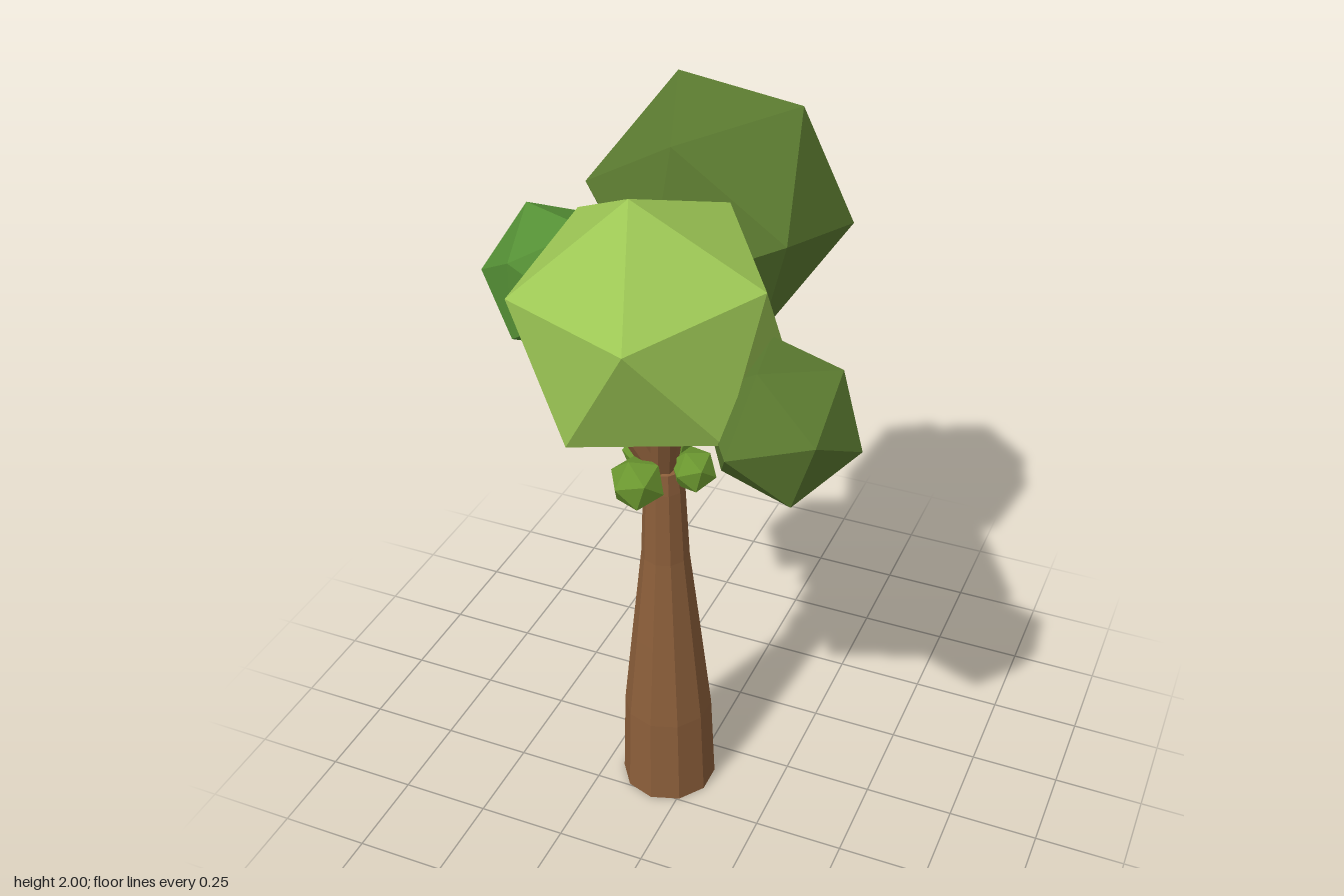
import * as THREE from 'three';

const V = (p) => new THREE.Vector3(...p);
const paint = (color) => new THREE.MeshStandardMaterial({ color, flatShading: true });
const bark = paint(0x8b5e3a);
const lightLeaf = paint(0x9dc755);
const darkLeaf = paint(0x5b7a30);
const freshLeaf = paint(0x559035);
const sproutLeaf = paint(0x6c9830);

// Icosahedral clump, turned so that one edge runs from direction a to direction b
function clump(name, center, radius, material, a, b) {
  const mesh = new THREE.Mesh(new THREE.IcosahedronGeometry(radius, 0), material);
  const from = V(a).normalize(), to = V(b).normalize();
  const y = from.clone().add(to).normalize();
  const x = to.clone().sub(from).normalize();
  const z = x.clone().cross(y);
  mesh.quaternion.setFromRotationMatrix(new THREE.Matrix4().makeBasis(x, y, z));
  mesh.position.set(...center);
  mesh.name = name;
  return mesh;
}

// Tapered limb between two points
function limb(name, start, end, r0, r1) {
  const a = V(start), b = V(end), dir = b.clone().sub(a);
  const mesh = new THREE.Mesh(new THREE.CylinderGeometry(r1, r0, dir.length(), 7), bark);
  mesh.position.copy(a).add(b).multiplyScalar(0.5);
  mesh.quaternion.setFromUnitVectors(new THREE.Vector3(0, 1, 0), dir.normalize());
  mesh.name = name;
  return mesh;
}

export function createModel() {
  const tree = new THREE.Group();
  tree.name = 'tree';

  // Trunk, flared towards the closed foot
  const profile = [[0, 0], [0.134, 0], [0.124, 0.27], [0.096, 0.53], [0.066, 0.8], [0.056, 1.02], [0.05, 1.08], [0, 1.1]];
  const trunk = new THREE.Mesh(
    new THREE.LatheGeometry(profile.map(([r, y]) => new THREE.Vector2(r, y)), 10), bark);
  trunk.position.set(-0.072, 0, 0.137);
  trunk.name = 'trunk';
  tree.add(trunk);

  // Branches fanning out from the trunk top
  const fork = [-0.075, 1.05, 0.135];
  const tips = [[-0.01, 1.46, 0.26], [-0.3, 1.47, 0.12], [-0.12, 1.44, -0.13], [-0.25, 1.45, 0.25], [-0.03, 1.44, 0.1]];
  const branches = new THREE.Group();
  branches.name = 'branches';
  tips.forEach((tip, i) => branches.add(limb('branch' + (i + 1), fork, tip, 0.034, 0.036)));
  tree.add(branches);

  // Large crown clumps
  tree.add(
    clump('frontCrown', [0.017, 1.663, 0.4], 0.343, lightLeaf, [-0.012, 0.337, 0.065], [0.083, 0.1, 0.32]),
    clump('backCrown', [-0.077, 1.66, -0.26], 0.354, darkLeaf, [-0.157, 0.305, -0.096], [0.208, 0.285, -0.035]),
    clump('rightCrown', [-0.341, 1.59, 0.152], 0.2, freshLeaf, [-0.1, 0.175, -0.03], [-0.19, 0.005, 0.045]),
    clump('leftCrown', [0.35, 1.488, 0.415], 0.198, darkLeaf, [-0.025, 0.172, 0.095], [-0.182, 0.056, 0.033]),
    clump('rearCrown', [-0.178, 1.472, -0.557], 0.178, lightLeaf, [-0.017, 0.155, -0.085], [0.028, -0.02, -0.17]),
  );

  // Small tufts among the branches and around the fork
  const tufts = [
    [[-0.15, 1.445, 0.085], 0.09], [[-0.22, 1.47, 0.27], 0.1],
    [[-0.115, 1.065, 0.21], 0.077], [[0.005, 1.08, 0.12], 0.064],
    [[-0.08, 1.1, 0.035], 0.05], [[-0.15, 1.08, 0.1], 0.055], [[-0.03, 1.05, 0.07], 0.045],
  ];
  const group = new THREE.Group();
  group.name = 'tufts';
  tufts.forEach(([center, r], i) =>
    group.add(clump('tuft' + (i + 1), center, r, sproutLeaf, [-0.1 - 0.05 * i, 1, 0.3], [0.5, 0.3, 0.8 - 0.1 * i])));
  tree.add(group);

  return tree;
}
